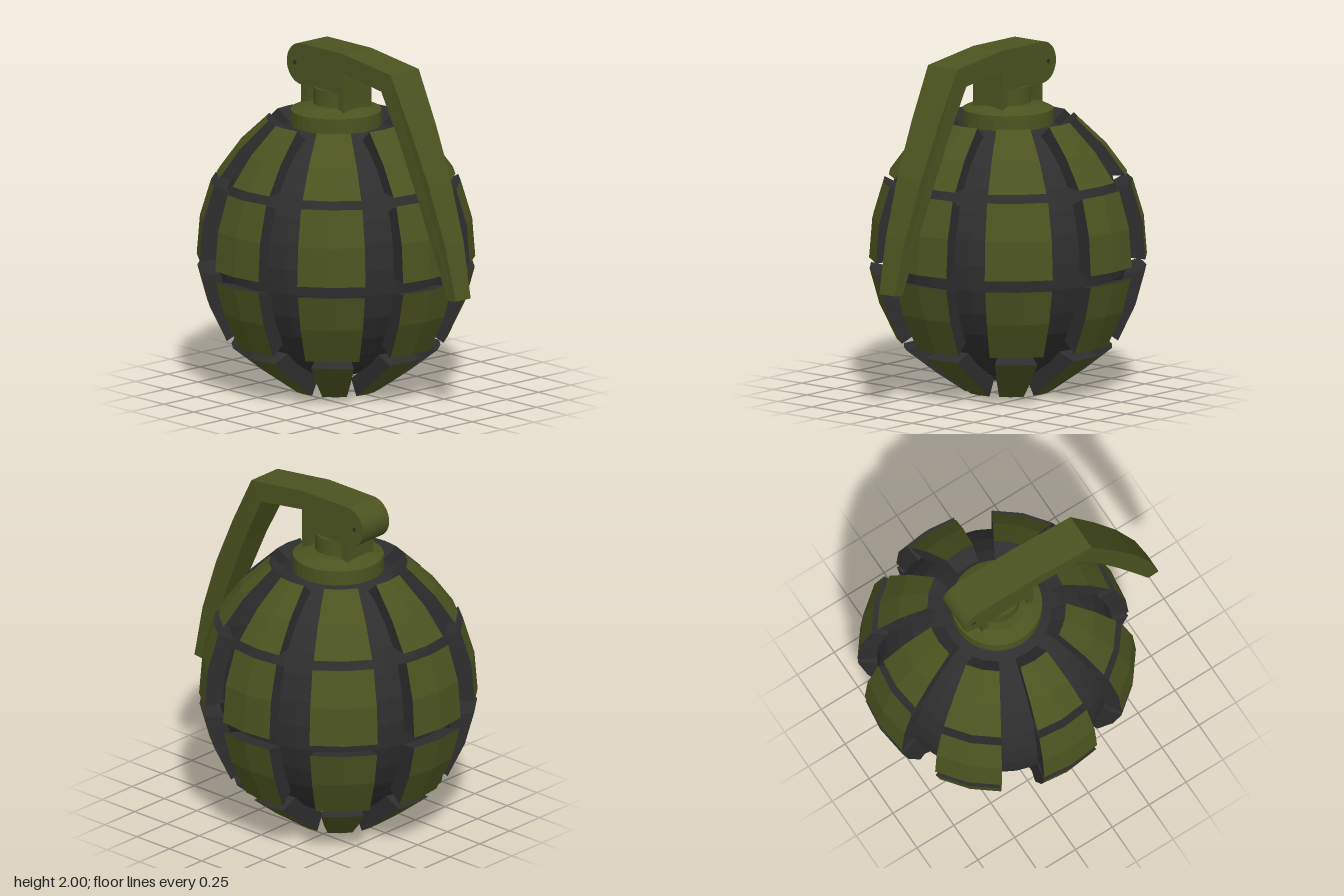
import * as THREE from 'three';

const olive = new THREE.MeshStandardMaterial({ color: 0x4b5320, flatShading: true });
olive.name = 'olive green';
const dark = new THREE.MeshStandardMaterial({ color: 0x2e2e2e, flatShading: true });
dark.name = 'dark grey';

const AXIS = -0.135; // x of the body's axis

// Rows of armour plates: [outer radius, outer y, inner radius, inner y, half angle in degrees]
const ROWS = [
  [[0.255, 0, 0.19, 0.09, 16], [0.435, 0.125, 0.34, 0.19, 13], [0.595, 0.25, 0.45, 0.29, 11.8]],
  [[0.635, 0.3, 0.54, 0.36, 14], [0.735, 0.51, 0.62, 0.52, 14], [0.79, 0.71, 0.66, 0.685, 14]],
  [[0.793, 0.775, 0.66, 0.785, 14.2], [0.775, 1.0, 0.64, 0.98, 14.2], [0.712, 1.21, 0.59, 1.15, 14.2]],
  [[0.68, 1.255, 0.52, 1.26, 14.2], [0.56, 1.42, 0.43, 1.38, 14.2], [0.395, 1.578, 0.31, 1.51, 14.2]],
];

function mesh(parent, name, geometry, material) {
  const m = new THREE.Mesh(geometry, material);
  m.name = name;
  parent.add(m);
  return m;
}

// Curved plate: olive outer face (group 0), dark edges (group 1)
function plateGeometry(row, widen) {
  const pos = [];
  const point = (i, j, inner) => {
    const [ro, yo, ri, yi, deg] = row[i];
    const a = THREE.MathUtils.degToRad(deg * widen) * j;
    const r = inner ? ri : ro;
    return [r * Math.sin(a), inner ? yi : yo, r * Math.cos(a)];
  };
  const quad = (a, b, c, d) => pos.push(...a, ...b, ...c, ...a, ...c, ...d);
  const out = (i, j) => point(i, j, false), inn = (i, j) => point(i, j, true);
  for (let i = 0; i < 2; i++)
    for (const j of [-1, 0]) quad(out(i, j), out(i, j + 1), out(i + 1, j + 1), out(i + 1, j));
  const faceCount = pos.length / 3;
  for (let i = 0; i < 2; i++) {
    quad(out(i, 1), inn(i, 1), inn(i + 1, 1), out(i + 1, 1));
    quad(inn(i, -1), out(i, -1), out(i + 1, -1), inn(i + 1, -1));
  }
  for (const j of [-1, 0]) {
    quad(out(2, j), out(2, j + 1), inn(2, j + 1), inn(2, j));
    quad(inn(0, j), inn(0, j + 1), out(0, j + 1), out(0, j));
  }
  const g = new THREE.BufferGeometry();
  g.setAttribute('position', new THREE.Float32BufferAttribute(pos, 3));
  g.addGroup(0, faceCount, 0);
  g.addGroup(faceCount, pos.length / 3 - faceCount, 1);
  g.computeVertexNormals();
  return g;
}

export function createModel() {
  const root = new THREE.Group();
  root.name = 'grenade';

  // Round body with four rows of eight plates
  const body = new THREE.Group();
  body.name = 'body';
  body.position.x = AXIS;
  root.add(body);
  const core = mesh(body, 'core', new THREE.SphereGeometry(0.685, 32, 16), dark);
  core.scale.y = 0.76 / 0.685;
  core.position.y = 0.84;
  ROWS.forEach((row, r) => {
    for (let k = 0; k < 8; k++) {
      const plate = mesh(body, `plateRow${r + 1}`, plateGeometry(row, k % 4 ? 1 : 0.92), [olive, dark]);
      plate.rotation.y = (k * Math.PI) / 4;
    }
  });

  // Collar and neck
  const collar = [[0, 1.525], [0.26, 1.525], [0.26, 1.63], [0.18, 1.667], [0, 1.667]];
  mesh(body, 'collar', new THREE.LatheGeometry(collar.map(p => new THREE.Vector2(...p)), 32), olive);
  mesh(body, 'neck', new THREE.CylinderGeometry(0.132, 0.132, 0.13, 32), olive).position.y = 1.7;

  // Bracket legs either side of the neck
  for (const x of [-0.284, 0.022]) {
    const leg = mesh(root, 'bracketLeg', new THREE.BoxGeometry(0.046, 0.2, 0.22), olive);
    leg.position.set(x, 1.73, 0);
  }

  // Lever head with rounded hinge end
  const headShape = new THREE.Shape();
  headShape.moveTo(-0.307, 1.76);
  headShape.lineTo(0.045, 1.76);
  headShape.lineTo(0.045, 2);
  headShape.lineTo(-0.307, 2);
  headShape.absarc(-0.307, 1.88, 0.12, Math.PI / 2, Math.PI * 1.5, false);
  const head = new THREE.ExtrudeGeometry(headShape, { depth: 0.22, bevelEnabled: false, curveSegments: 16 });
  mesh(root, 'leverHead', head.translate(0, 0, -0.11), olive);
  const pin = mesh(root, 'hingePin', new THREE.CylinderGeometry(0.013, 0.013, 0.224, 12), dark);
  pin.rotation.x = Math.PI / 2;
  pin.position.set(-0.36, 1.88, 0);

  // Bent lever arm, narrowing towards its tip
  const outline = [
    [0.04, 1.885], [0.36, 1.838], [0.51, 1.54], [0.652, 1.21], [0.78, 0.89], [0.857, 0.693],
    [0.926, 0.7], [0.85, 1.02], [0.73, 1.35], [0.59, 1.65], [0.437, 1.948], [0.04, 2],
  ];
  const armShape = new THREE.Shape(outline.map(p => new THREE.Vector2(...p)));
  const arm = new THREE.ExtrudeGeometry(armShape, { depth: 2, bevelEnabled: false }).translate(0, 0, -1);
  const p = arm.attributes.position;
  for (let i = 0; i < p.count; i++) {
    const t = THREE.MathUtils.clamp((p.getY(i) - 0.7) / 1.13, 0, 1);
    p.setZ(i, p.getZ(i) * (0.058 + 0.052 * t));
  }
  arm.computeVertexNormals();
  mesh(root, 'leverArm', arm, olive);

  return root;
}
